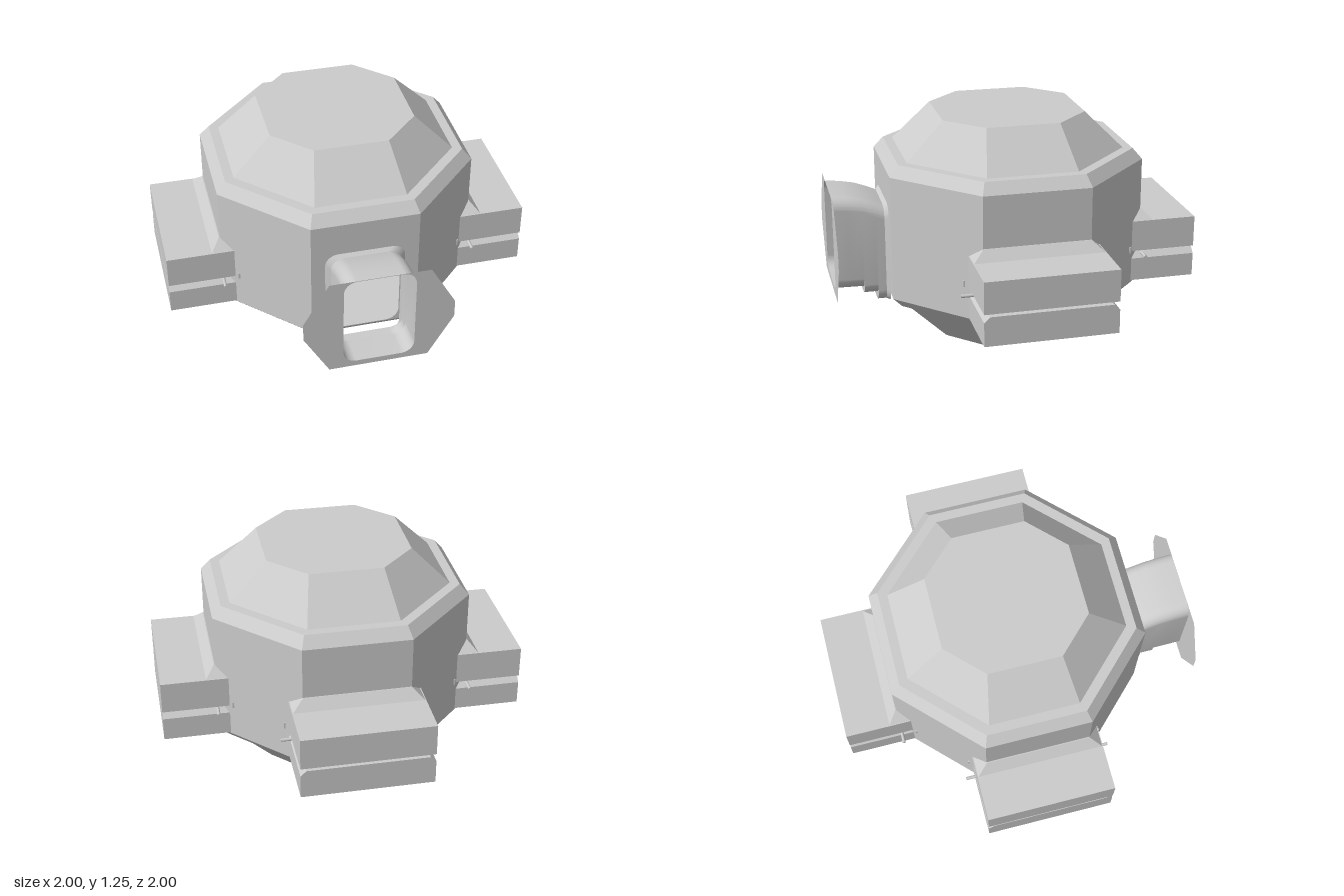
import * as THREE from 'three';
import { toCreasedNormals } from 'three/addons/utils/BufferGeometryUtils.js';

const flat = new THREE.MeshStandardMaterial({ color: 0xcccccc, flatShading: true, side: THREE.DoubleSide });
const smooth = new THREE.MeshStandardMaterial({ color: 0xcccccc, side: THREE.DoubleSide });

function add(parent, name, geometry, material = flat) {
  const mesh = new THREE.Mesh(geometry, material);
  mesh.name = name;
  parent.add(mesh);
  return mesh;
}

// Skin between closed rings of points; skip(ring, side) leaves a panel out
function loft(rings, { capStart = false, capEnd = false, skip = () => false } = {}) {
  const pos = [];
  const tri = (...pts) => pts.forEach((p) => pos.push(p.x, p.y, p.z));
  const n = rings[0].length;
  for (let r = 0; r < rings.length - 1; r++) {
    const a = rings[r], b = rings[r + 1];
    for (let i = 0; i < n; i++) {
      if (skip(r, i)) continue;
      const j = (i + 1) % n;
      tri(a[i], b[i], a[j]);
      tri(a[j], b[i], b[j]);
    }
  }
  const first = rings[0], last = rings[rings.length - 1];
  for (let i = 1; i < n - 1; i++) {
    if (capStart) tri(first[0], first[i], first[i + 1]);
    if (capEnd) tri(last[0], last[i + 1], last[i]);
  }
  const g = new THREE.BufferGeometry();
  g.setAttribute('position', new THREE.Float32BufferAttribute(pos, 3));
  g.computeVertexNormals();
  return g;
}

// Octagon ring: a = distance to the flats, c = half length of a flat
function octagon(a, c, y) {
  return [[a, c], [c, a], [-c, a], [-a, c], [-a, -c], [-c, -a], [c, -a], [a, -c]]
    .map(([x, z]) => new THREE.Vector3(x, y, z));
}

// Rounded rectangle path, half width w, from y0 to y1
function roundedRect(w, y0, y1, r, Type = THREE.Shape) {
  const s = new Type();
  s.moveTo(w, y0 + r);
  s.lineTo(w, y1 - r);
  s.absarc(w - r, y1 - r, r, 0, Math.PI / 2);
  s.absarc(-w + r, y1 - r, r, Math.PI / 2, Math.PI);
  s.absarc(-w + r, y0 + r, r, Math.PI, Math.PI * 1.5);
  s.absarc(w - r, y0 + r, r, Math.PI * 1.5, Math.PI * 2);
  return s;
}

function polygon(points) {
  return new THREE.Shape(points.map(([x, y]) => new THREE.Vector2(x, y)));
}

// Two-block docking arm, built pointing along +z
function makeDock(name) {
  const dock = new THREE.Group();
  dock.name = name;
  const w = 0.355, inner = 0.62, length = 0.38;
  const upper = new THREE.BoxGeometry(2 * w, 0.175, length);
  upper.translate(0, 0.5575, inner + length / 2);
  add(dock, 'upperBlock', upper);

  const profile = polygon([[-w, 0.295], [w, 0.295], [w, 0.425], [w - 0.03, 0.455], [-w + 0.03, 0.455], [-w, 0.425]]);
  const lower = new THREE.ExtrudeGeometry(profile, { depth: length, bevelEnabled: false });
  lower.translate(0, 0, inner);
  add(dock, 'lowerBlock', lower);

  // Filler behind the slot
  const web = new THREE.BoxGeometry(0.6, 0.03, 0.08);
  web.translate(0, 0.463, 0.66);
  add(dock, 'slotBack', web);

  // Sloped hood where the arm meets the wall
  const rect = (hw, y, z0, z1) => [[hw, z1], [-hw, z1], [-hw, z0], [hw, z0]].map(([x, z]) => new THREE.Vector3(x, y, z));
  add(dock, 'hood', loft([rect(0.35, 0.645, 0.63, 0.755), rect(0.29, 0.7, 0.63, 0.705)], { capEnd: true }));

  // Hinge rod and its end hooks
  const rod = new THREE.CylinderGeometry(0.009, 0.009, 0.82, 10);
  rod.rotateZ(Math.PI / 2);
  rod.translate(0, 0.45, 0.7);
  add(dock, 'hingeRod', rod, smooth);
  for (const side of [-1, 1]) {
    const hook = new THREE.BoxGeometry(0.008, 0.035, 0.01);
    hook.translate(side * 0.375, 0.485, 0.618);
    add(dock, 'hook', hook);
  }
  return dock;
}

export function createModel() {
  const model = new THREE.Group();

  // Octagonal hull with bevelled rims, front wall left open for the port
  const hull = [octagon(0.65, 0.27, 0.235), octagon(0.7, 0.29, 0.29), octagon(0.7, 0.29, 0.985),
    octagon(0.65, 0.27, 1.045), octagon(0.6, 0.245, 1.045)];
  add(model, 'hull', loft(hull, { capStart: true, skip: (r, i) => r === 1 && i === 1 }));

  const wall = polygon([[-0.29, 0.29], [0.29, 0.29], [0.29, 0.985], [-0.29, 0.985]]);
  wall.holes.push(roundedRect(0.19, 0.295, 0.785, 0.07, THREE.Path));
  const wallGeometry = new THREE.ShapeGeometry(wall, 8);
  wallGeometry.translate(0, 0, 0.7);
  add(model, 'frontWall', wallGeometry);

  // Faceted domes above and below
  add(model, 'upperDome', loft([octagon(0.6, 0.245, 1.045), octagon(0.393, 0.2, 1.252)], { capEnd: true }));
  add(model, 'lowerDome', loft([octagon(0.393, 0.2, 0), octagon(0.6, 0.245, 0.21)], { capStart: true, capEnd: true }));

  // Front port: rounded tube, stepped underneath, sloping up to the mouth
  const sections = [
    // z, half width, bottom, top
    [0.7, 0.215, 0.235, 0.8], [0.72, 0.19, 0.235, 0.785], [0.765, 0.19, 0.235, 0.805],
    [0.765, 0.19, 0.28, 0.805], [0.84, 0.19, 0.28, 0.833], [0.84, 0.19, 0.318, 0.833],
    [0.92, 0.19, 0.32, 0.849], [1, 0.19, 0.322, 0.857],
  ];
  const rings = sections.map(([z, w, y0, y1]) => {
    const pts = roundedRect(w, y0, y1, 0.07).getPoints(8);
    return pts.map((p) => new THREE.Vector3(p.x, p.y, z));
  });
  add(model, 'portTube', toCreasedNormals(loft(rings), 0.6), smooth);

  // Thin flange around the port mouth
  const flange = polygon([[-0.265, 0.29], [0.265, 0.29], [0.4, 0.525], [0.4, 0.625],
    [0.265, 0.86], [-0.265, 0.86], [-0.4, 0.625], [-0.4, 0.525]]);
  flange.holes.push(roundedRect(0.19, 0.322, 0.857, 0.07, THREE.Path));
  const flangeGeometry = new THREE.ShapeGeometry(flange, 8);
  flangeGeometry.translate(0, 0, 1);
  add(model, 'portFlange', flangeGeometry);

  // Docking arms on the left, right and back
  [['leftDock', Math.PI / 2], ['rightDock', -Math.PI / 2], ['backDock', Math.PI]].forEach(([name, angle]) => {
    const dock = makeDock(name);
    dock.rotation.y = angle;
    model.add(dock);
  });

  return model;
}
